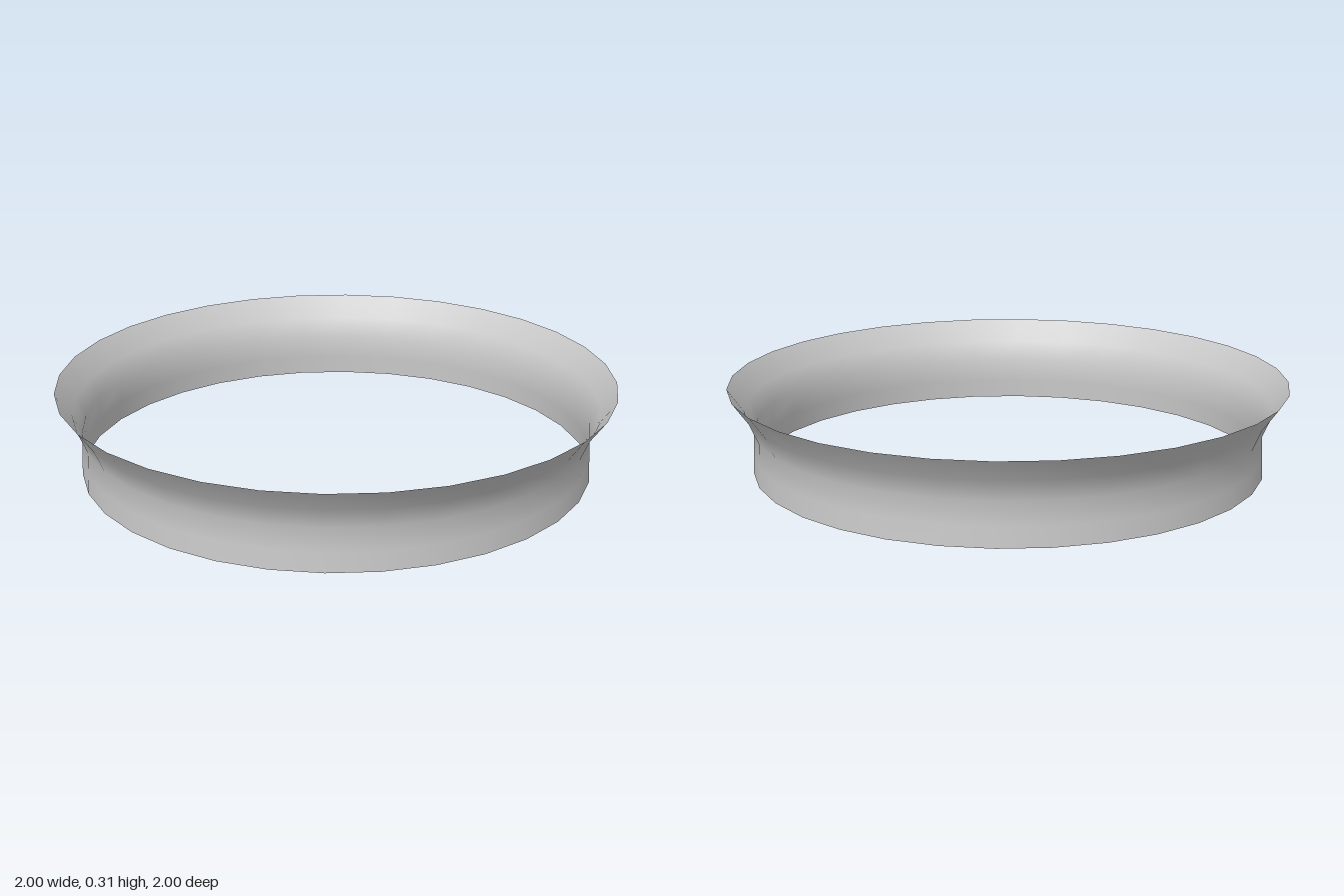
import * as THREE from 'three';

export function createModel() {
  const group = new THREE.Group();
  group.name = 'flaredRing';

  // Thin open wall: nearly straight collar that flares out to the rim
  const profile = [
    [0.917, 0], [0.914, 0.07], [0.911, 0.155], [0.943, 0.23], [1, 0.31],
  ].map(([r, y]) => new THREE.Vector2(r, y));

  const wall = new THREE.Mesh(
    new THREE.LatheGeometry(profile, 32),
    new THREE.MeshStandardMaterial({ color: 0xcccccc, side: THREE.DoubleSide })
  );
  wall.name = 'ringWall';
  group.add(wall);
  return group;
}
